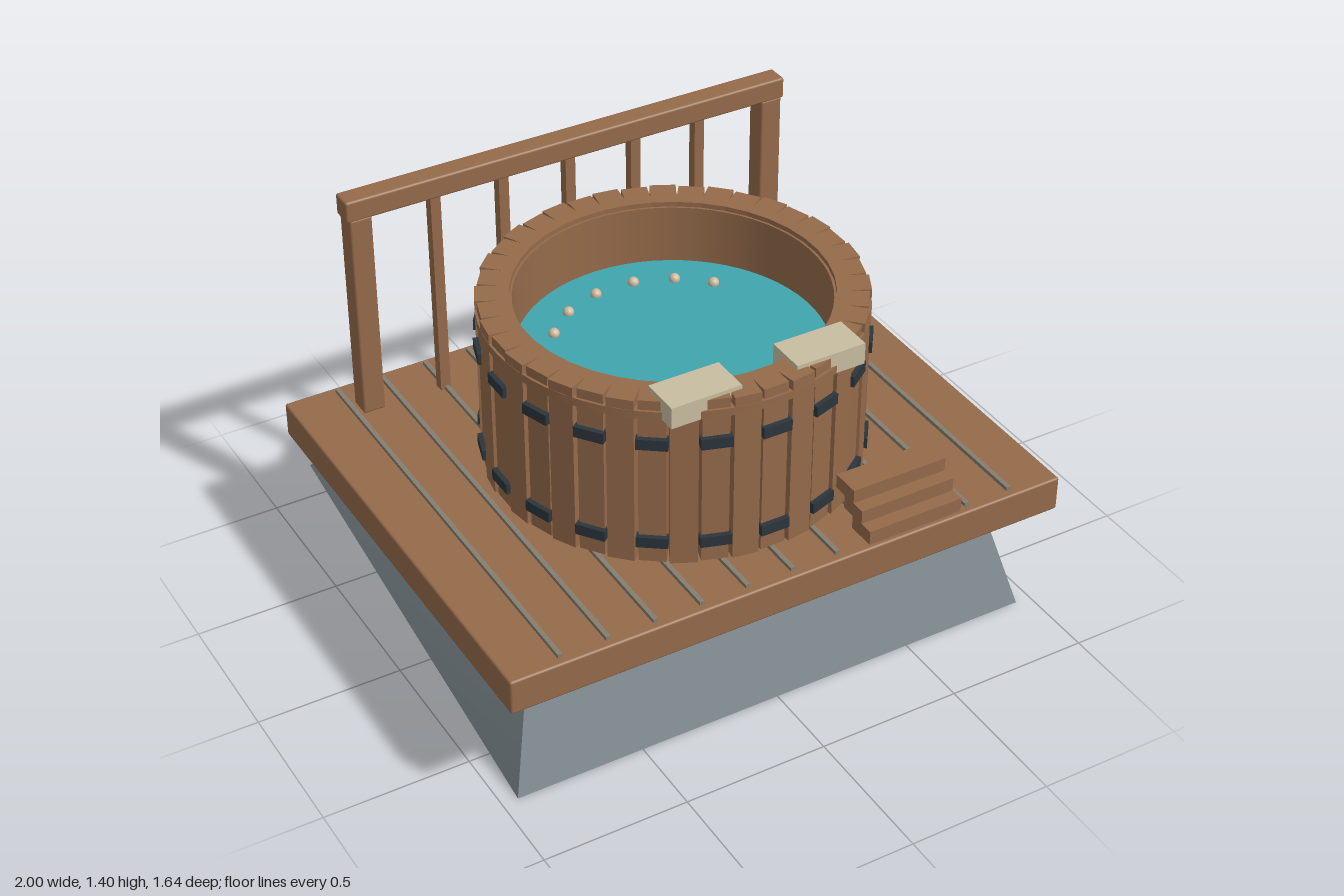
import * as THREE from 'three';
import { RoundedBoxGeometry } from 'three/addons/geometries/RoundedBoxGeometry.js';

const paint = (name, color) => {
  const m = new THREE.MeshStandardMaterial({ color });
  m.name = name;
  return m;
};

export function createModel() {
  const wood = paint('cedar wood', 0x946a4a);
  const stone = paint('grey stone', 0x808b90);
  const iron = paint('dark iron', 0x2c353c);
  const water = paint('pool water', 0x40a4ae);
  const cushion = paint('cream cushion', 0xc8bda0);
  const seam = paint('grey seam', 0x857d6e);
  const pearl = paint('jet beige', 0xccb89c);

  const model = new THREE.Group();
  model.name = 'hotTub';

  const add = (name, geometry, material, x, y, z, parent = model) => {
    const mesh = new THREE.Mesh(geometry, material);
    mesh.name = name;
    mesh.position.set(x, y, z);
    parent.add(mesh);
    return mesh;
  };
  const box = (w, h, d) => new THREE.BoxGeometry(w, h, d);
  const softBox = (w, h, d) => new RoundedBoxGeometry(w, h, d, 2, 0.008);

  // Sloping plinth: narrower top, tilted underside
  const plinth = box(2, 2, 2);
  const p = plinth.attributes.position;
  for (let i = 0; i < p.count; i++) {
    const top = p.getY(i) > 0, front = p.getZ(i) > 0;
    const x = Math.sign(p.getX(i)) * (top ? 0.83 : 0.945);
    if (top) p.setXYZ(i, x, 0.445, front ? 0.6 : -0.67);
    else p.setXYZ(i, x, front ? 0 : 0.31, front ? 0.725 : -0.78);
  }
  plinth.computeVertexNormals();
  add('plinth', plinth, stone, 0, 0, 0);

  // Deck with plank seams
  add('deck', softBox(2, 0.125, 1.635), wood, 0, 0.5025, 0);
  for (let i = -5; i <= 5; i++) {
    add('deckSeam', box(0.016, 0.016, 1.58), seam, i * 0.1635, 0.571, 0);
  }

  // Tub: every second stave is slightly recessed and carries the hoop plates
  const tub = new THREE.Group();
  tub.name = 'tub';
  tub.position.z = 0.05;
  model.add(tub);
  const staves = 40;
  for (let i = 0; i < staves; i++) {
    const spoke = new THREE.Group();
    spoke.name = 'staveGroup';
    spoke.rotation.y = (i / staves) * Math.PI * 2;
    tub.add(spoke);
    const recessed = i % 2 === 0;
    const outer = recessed ? 0.618 : 0.625;
    const depth = outer - 0.515;
    add('stave', box(0.087, 0.608, depth), wood, 0, 0.888, outer - depth / 2, spoke);
    if (recessed) {
      for (const y of [0.667, 1.04]) {
        add('hoopPlate', box(0.1, 0.038, 0.03), iron, 0, y, 0.62, spoke);
      }
    }
  }

  // Closed ring from a rectangular section
  const ring = (r0, r1, y0, y1) => new THREE.LatheGeometry(
    [[r0, y0], [r1, y0], [r1, y0], [r1, y1], [r1, y1], [r0, y1], [r0, y1], [r0, y0]]
      .map(([r, y]) => new THREE.Vector2(r, y)), 64);
  add('innerLining', ring(0.508, 0.56, 0.585, 1.175), wood, 0, 0, 0, tub);
  add('rimBand', ring(0.56, 0.627, 1.13, 1.158), wood, 0, 0, 0, tub);
  add('water', new THREE.CylinderGeometry(0.51, 0.51, 0.37, 64), water, 0, 0.785, 0, tub);

  // Arc of jets at the water surface
  for (const a of [10.5, 31, 50.5]) {
    for (const side of [-1, 1]) {
      const t = THREE.MathUtils.degToRad(a);
      add('jet', new THREE.SphereGeometry(0.019, 16, 10), pearl,
        side * 0.387 * Math.sin(t), 0.975, -0.387 * Math.cos(t), tub);
    }
  }

  // Headrests
  for (const side of [-1, 1]) {
    add('headrest', box(0.245, 0.075, 0.138), cushion, side * 0.22, 1.168, 0.56);
  }

  // Steps
  for (let i = 0; i < 3; i++) {
    add('step', box(0.345, 0.05, 0.1), wood, 0.435, 0.609 + i * 0.048, 0.77 - i * 0.049);
  }

  // Back railing
  for (const side of [-1, 1]) {
    add('railPost', softBox(0.078, 0.75, 0.078), wood, side * 0.766, 0.96, -0.64);
  }
  add('topRail', softBox(1.63, 0.076, 0.078), wood, 0, 1.367, -0.64);
  for (let i = -2; i <= 2; i++) {
    add('baluster', box(0.036, 0.77, 0.036), wood, i * 0.247, 0.95, -0.64);
  }

  return model;
}
